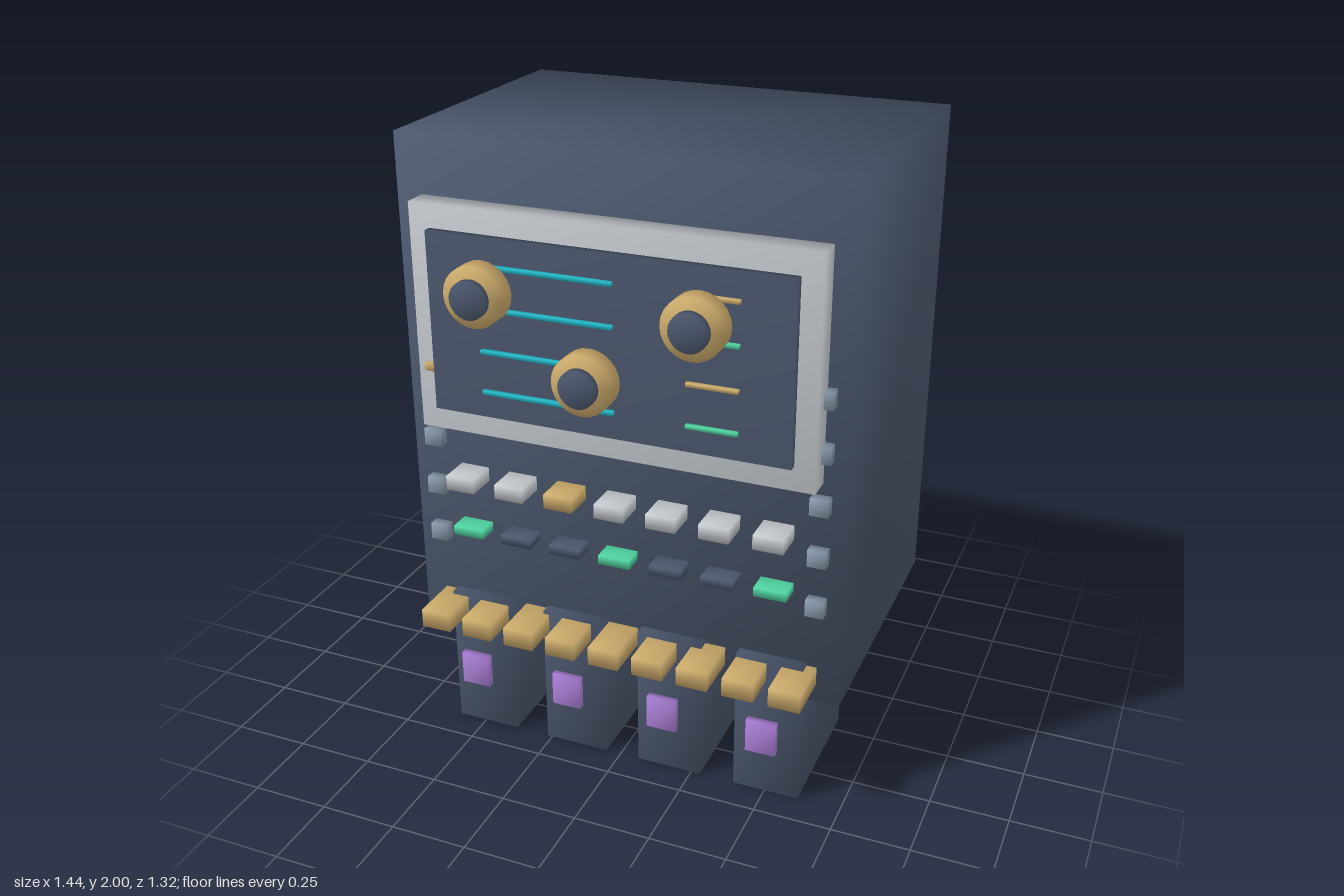
import * as THREE from 'three';
import { mergeVertices } from 'three/addons/utils/BufferGeometryUtils.js';

const material = (name, color) => {
  const m = new THREE.MeshStandardMaterial({ color });
  m.name = name;
  return m;
};

// Share corners so the shading rolls softly over every edge.
function soften(geometry) {
  geometry.deleteAttribute('normal');
  geometry.deleteAttribute('uv');
  const merged = mergeVertices(geometry, 1e-4);
  merged.computeVertexNormals();
  return merged;
}

export function createModel() {
  const model = new THREE.Group();
  model.name = 'controlCabinet';

  const slate = material('slate', 0x4b576d);
  const silver = material('silver', 0xc6cacf);
  const brass = material('brass', 0xcdac6c);
  const steel = material('steel', 0x8798aa);
  const teal = material('teal', 0x3f7f74);
  const cyan = material('cyan', 0x22b8c8);
  const mint = material('mint', 0x4fd3a0);
  const violet = material('violet', 0xac80d8);

  const add = (name, geometry, mat, x, y, z) => {
    const mesh = new THREE.Mesh(geometry, mat);
    mesh.name = name;
    mesh.position.set(x, y, z);
    model.add(mesh);
    return mesh;
  };
  // Box given by its centre in x and y, and its back and front in z.
  const box = (name, mat, x, y, w, h, back, front) =>
    add(name, soften(new THREE.BoxGeometry(w, h, front - back)), mat, x, y, (back + front) / 2);
  // Disc facing the front.
  const disc = (name, mat, x, y, radius, back, front) => {
    const g = new THREE.CylinderGeometry(radius, radius, front - back, 24).rotateX(Math.PI / 2);
    add(name, soften(g), mat, x, y, (back + front) / 2);
  };

  // Cabinet and display
  box('cabinet', slate, 0, 1.177, 1.436, 1.646, -0.6, 0.36);
  box('displayFrame', silver, 0, 1.46, 1.27, 0.715, 0.36, 0.44);
  box('displayPanel', slate, 0, 1.462, 1.14, 0.565, 0.44, 0.465);
  box('displayTab', brass, -0.588, 1.307, 0.04, 0.026, 0.43, 0.453);

  // Lines on the display
  [1.66, 1.53, 1.395, 1.265].forEach((y, i) => {
    box('displayLine', cyan, -0.185, y, 0.425, 0.013, 0.465, 0.481);
    box('displayShortLine', i % 2 ? mint : brass, 0.332, y, 0.157, 0.012, 0.465, 0.481);
  });

  // Dials with dark caps
  [[-0.33, 1.622], [0.33, 1.622], [0, 1.406]].forEach(([x, y]) => {
    disc('dial', brass, x, y, 0.0925, 0.567, 0.628);
    disc('dialCap', slate, x, y, 0.058, 0.636, 0.657);
  });

  // Bolts down both sides of the front
  for (let i = 0; i < 5; i++)
    for (const side of [-1, 1])
      box('bolt', steel, side * 0.635, 1.375 - i * 0.169, 0.058, 0.055, 0.36, 0.396);

  // Row of buttons above a row of lamps
  for (let i = -3; i <= 3; i++) {
    box('button', i === -1 ? brass : silver, i * 0.169, 0.925, 0.095, 0.047, 0.36, 0.463);
    box('lamp', i % 3 === 0 ? mint : slate, i * 0.169, 0.74, 0.103, 0.03, 0.36, 0.43);
  }

  // Row of keys
  for (let i = -4; i <= 4; i++)
    box('key', brass, i * 0.148, 0.445, 0.1, 0.062, 0.36, 0.524);

  // Legs, each with a plate standing in front
  for (let i = 0; i < 4; i++) {
    const x = -0.489 + i * 0.3305;
    box('leg', slate, x, 0.243, 0.216, 0.486, -0.06, 0.397);
    box('legPlate', violet, x, 0.247, 0.097, 0.112, 0.442, 0.465);
  }

  // Panels on the back
  for (const x of [-0.549, 0.18])
    for (const y of [1.105, 0.798])
      box('backPanel', teal, x, y, 0.339, 0.167, -0.658, -0.6);

  return model;
}
